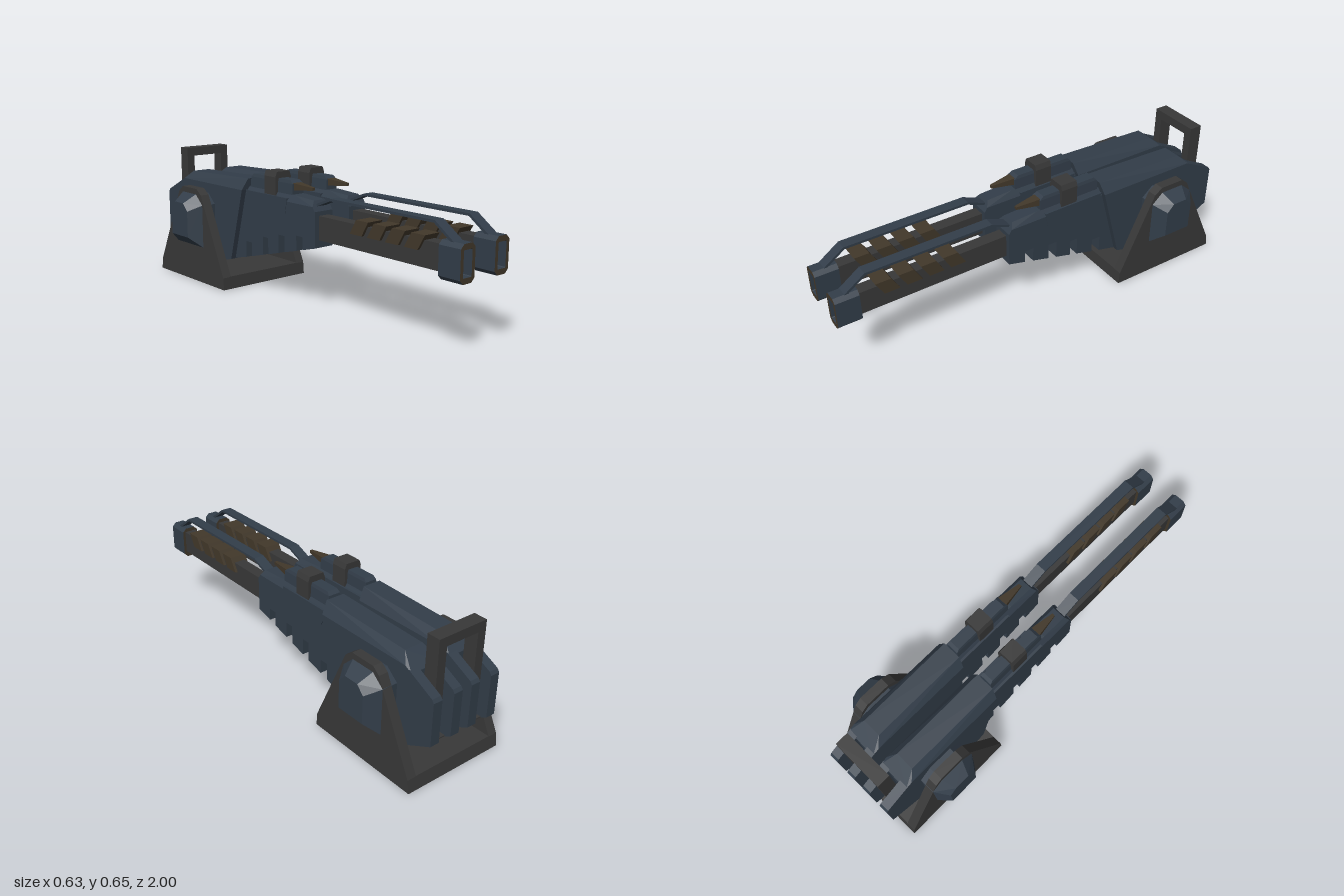
import * as THREE from 'three';
import { ConvexGeometry } from 'three/addons/geometries/ConvexGeometry.js';

const mat = (color) => new THREE.MeshStandardMaterial({ color, flatShading: true });
const grey = mat(0x383838), blue = mat(0x323d49), brown = mat(0x42382a);

function add(parent, name, geometry, material, x = 0, y = 0, z = 0) {
  const mesh = new THREE.Mesh(geometry, material);
  mesh.name = name;
  mesh.position.set(x, y, z);
  parent.add(mesh);
  return mesh;
}

const box = (w, h, d) => new THREE.BoxGeometry(w, h, d);

// Side profile of [z, y] points, given a width centred on x
function slab(profile, width) {
  const shape = new THREE.Shape(profile.map(([z, y]) => new THREE.Vector2(z, y)));
  return new THREE.ExtrudeGeometry(shape, { depth: width, bevelEnabled: false })
    .rotateY(-Math.PI / 2).translate(width / 2, 0, 0);
}

// Convex solid from [half width, y, z] points mirrored across x
const mirroredHull = (points) => new ConvexGeometry(points.flatMap(([x, y, z]) =>
  [new THREE.Vector3(x, y, z), new THREE.Vector3(-x, y, z)]));

// Rectangle outline with cut corners
function cutRect(Type, w, h, c) {
  return new Type([[-w, -h + c], [-w + c, -h], [w - c, -h], [w, -h + c],
    [w, h - c], [w - c, h], [-w + c, h], [-w, h - c]].map(([x, y]) => new THREE.Vector2(x, y)));
}

function createGun() {
  const gun = new THREE.Group();
  gun.name = 'gun';

  // Rear housing with a chamfered roof
  const s = 0.078, t = 0.046;
  add(gun, 'rearHousing', mirroredHull([
    [t, 0.555, -0.32], [t, 0.54, -0.8], [s, 0.5, -0.33], [s, 0.5, -0.84],
    [s, 0.14, -0.43], [s, 0.107, -0.55], [s, 0.107, -0.8], [s, 0.145, -0.875], [s, 0.48, -0.875],
  ]), blue);
  // Cheeks either side of the rear groove
  const cheek = [[-0.86, 0.49], [-0.99, 0.425], [-1, 0.41], [-1, 0.21], [-0.86, 0.138]];
  for (const side of [-1, 1]) add(gun, 'rearCheek', slab(cheek, 0.046), blue, side * 0.055);
  add(gun, 'grooveFoot', slab([[-0.87, 0.2], [-0.97, 0.2], [-0.97, 0.195], [-0.87, 0.143]], 0.07), grey);

  // Front body with through slots along its sloping underside
  const floor = (z) => 0.3 - (0.18 - z) * 0.262;
  const lower = [[0.18, 0.465], [0.18, floor(0.18)]];
  for (const [front, back, top] of [[0.094, 0.05, 0.337], [-0.035, -0.08, 0.32],
    [-0.16, -0.2, 0.29], [-0.29, -0.335, 0.245]]) {
    lower.push([front, floor(front)], [front, top], [back, top], [back, floor(back)]);
  }
  lower.push([-0.44, 0.14], [-0.44, 0.465]);
  add(gun, 'frontBody', slab(lower, 0.104), blue);
  add(gun, 'frontBodyRoof', mirroredHull([
    [0.052, 0.46, 0.18], [0.052, 0.46, -0.36], [0.052, 0.485, 0.165], [0.052, 0.485, -0.36],
    [0.032, 0.51, 0.15], [0.032, 0.517, 0.02], [0.032, 0.517, -0.36],
  ]), blue);

  // Sight: cradle, body, collar and blunt spike
  add(gun, 'sightCradle', slab([[-0.015, 0.5], [-0.03, 0.42], [-0.29, 0.42], [-0.33, 0.5]], 0.108), blue);
  add(gun, 'sightBody', mirroredHull([
    [0.034, 0.5, 0], [0.03, 0.565, 0], [0.026, 0.58, -0.02],
    [0.034, 0.5, -0.32], [0.03, 0.565, -0.315], [0.026, 0.58, -0.3],
  ]), blue);
  const collar = [];
  for (const z of [-0.107, -0.192]) {
    collar.push([0.046, 0.42, z], [0.046, 0.585, z], [0.037, 0.61, z]);
  }
  add(gun, 'sightCollar', mirroredHull(collar), grey);
  add(gun, 'sightSpike', mirroredHull([
    [0.025, 0.535, -0.01], [0.025, 0.569, -0.01], [0.007, 0.546, 0.112], [0.007, 0.559, 0.112],
  ]), brown);

  // Barrel with four slanted vent blocks
  add(gun, 'barrel', box(0.058, 0.11, 0.76), grey, 0, 0.39, 0.53);
  for (let i = 0; i < 4; i++) {
    add(gun, 'barrelVent', slab([[0.82, 0.468], [0.782, 0.403], [0.71, 0.403], [0.748, 0.468]], 0.084),
      brown, 0, 0, -i * 0.105);
  }

  // Muzzle sleeve with a brown end ring
  const sleeve = cutRect(THREE.Shape, 0.042, 0.079, 0.018);
  sleeve.holes.push(cutRect(THREE.Path, 0.025, 0.055, 0.003));
  add(gun, 'muzzle', new THREE.ExtrudeGeometry(sleeve, { depth: 0.109, bevelEnabled: false }),
    [brown, blue], 0, 0.384, 0.891);

  // Bent strip above the barrel
  add(gun, 'topRail', slab([[0.96, 0.455], [0.853, 0.531], [0.248, 0.531], [0.15, 0.492],
    [0.15, 0.48], [0.25, 0.52], [0.849, 0.52], [0.94, 0.455]], 0.052), blue);
  return gun;
}

export function createModel() {
  const model = new THREE.Group();
  model.name = 'twinCannon';

  for (const side of [-1, 1]) {
    const gun = createGun();
    gun.position.x = side * 0.103;
    model.add(gun);
  }

  // Cradle frame: base plate and two tapered side plates
  const plate = [[-0.39, 0], [-0.395, 0.06], [-0.575, 0.45], [-0.615, 0.478],
    [-0.74, 0.478], [-0.775, 0.45], [-0.965, 0.06], [-0.975, 0]];
  add(model, 'basePlate', slab([[-0.39, 0], [-0.395, 0.062], [-0.965, 0.062], [-0.975, 0]], 0.43), grey);
  for (const side of [-1, 1]) add(model, 'sidePlate', slab(plate, 0.046), grey, side * 0.233);

  // Trunnions: pivot blocks through the side plates with bevelled caps
  const pivot = [[-0.565, 0.185], [-0.565, 0.4], [-0.62, 0.45], [-0.74, 0.45], [-0.8, 0.4], [-0.8, 0.185]];
  const cap = [[-0.61, 0.238], [-0.61, 0.37], [-0.645, 0.408], [-0.72, 0.408], [-0.755, 0.37], [-0.755, 0.238]];
  for (const side of [-1, 1]) {
    const points = [];
    for (const [x, outline] of [[0.17, pivot], [0.256, pivot], [0.317, cap]]) {
      for (const [z, y] of outline) points.push(new THREE.Vector3(side * x, y, z));
    }
    add(model, 'trunnion', new ConvexGeometry(points), blue);
  }

  // Rear handle
  add(model, 'handleBar', box(0.254, 0.043, 0.064), grey, 0, 0.6265, -0.922);
  for (const side of [-1, 1]) {
    add(model, 'handleLeg', box(0.042, 0.43, 0.064), grey, side * 0.106, 0.395, -0.922);
  }
  return model;
}
